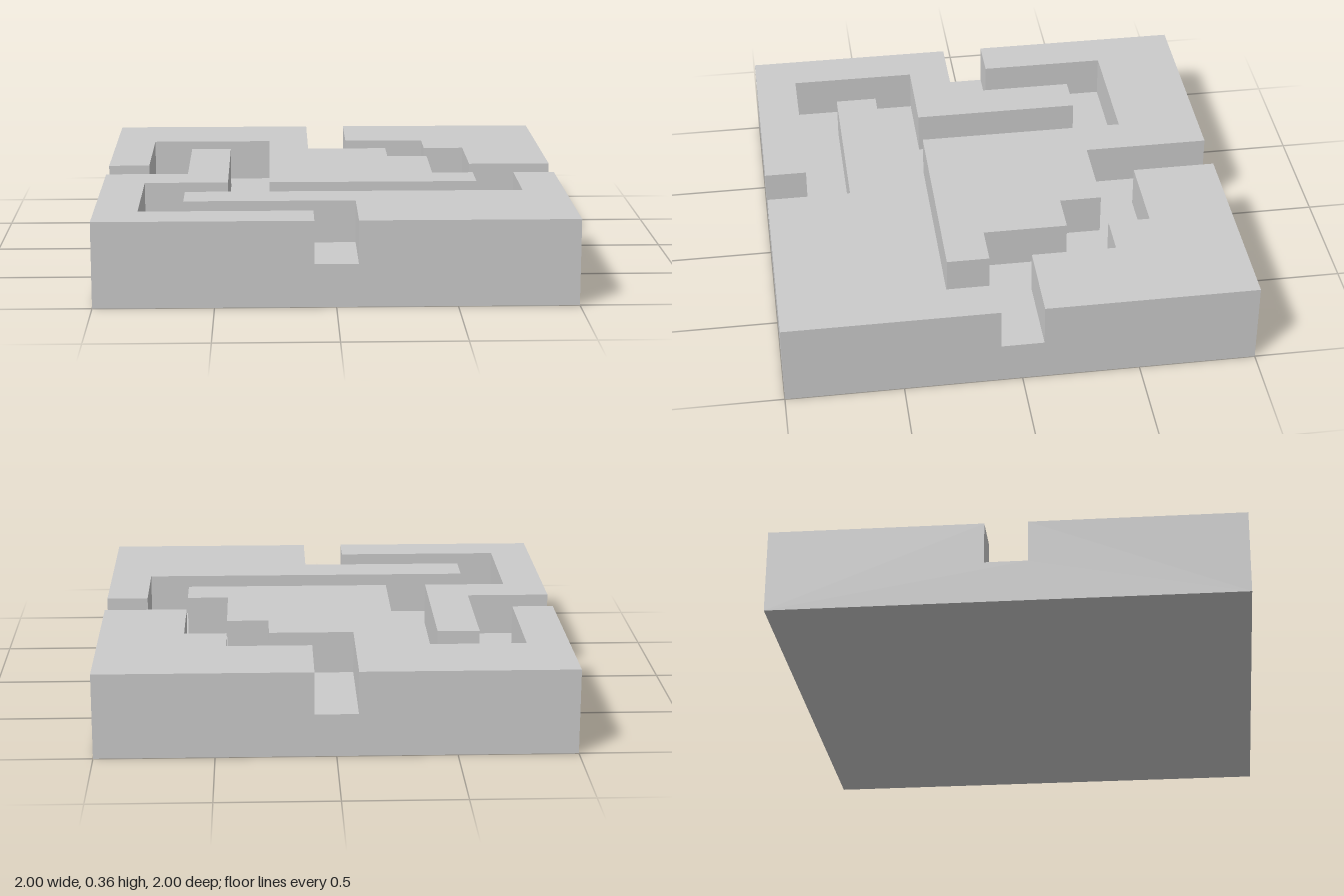
import * as THREE from 'three';
import { mergeGeometries } from 'three/addons/utils/BufferGeometryUtils.js';

const CELL = 2 / 11; // the tile is 11 x 11 cells, two cells high
const HEIGHT = 2 * CELL;
const FLOOR = CELL;
const at = (i) => -1 + i * CELL;

// Raised quarters: channel edge in [column, row] cells, walked with the block on the left, plus its corner
const blocks = [
  { // back, x negative
    edge: [[0, 5], [1, 5], [1, 2], [4, 2], [4, 7], [9, 7], [9, 6], [8, 6], [8, 4], [7, 4], [7, 3], [5, 3], [5, 0]],
    corner: [0, 0],
  },
  { // back, x positive
    edge: [[6, 0], [6, 2], [8, 2], [8, 3], [9, 3], [9, 5], [11, 5]],
    corner: [11, 0],
  },
  { // front, x positive
    edge: [[11, 6], [10, 6], [10, 8], [2, 8], [2, 9], [6, 9], [6, 11]],
    corner: [11, 11],
  },
  { // front, x negative
    edge: [[5, 11], [5, 10], [1, 10], [1, 7], [3, 7], [3, 3], [2, 3], [2, 6], [0, 6]],
    corner: [0, 11],
  },
];

// Flat upward-facing polygon at height y
function flat(cells, y) {
  const shape = new THREE.Shape(cells.map(([i, j]) => new THREE.Vector2(at(i), -at(j))));
  return new THREE.ShapeGeometry(shape).rotateX(-Math.PI / 2).translate(0, y, 0);
}

// Vertical channel wall between two cell corners
function wall([i0, j0], [i1, j1]) {
  const length = Math.hypot(i1 - i0, j1 - j0) * CELL;
  return new THREE.PlaneGeometry(length, HEIGHT - FLOOR)
    .rotateY(Math.atan2(j0 - j1, i1 - i0))
    .translate(at((i0 + i1) / 2), (HEIGHT + FLOOR) / 2, at((j0 + j1) / 2));
}

// Outer side with the channel's opening notched into the middle
function outerSide(turn) {
  const n = CELL / 2;
  const outline = [[-1, 0], [1, 0], [1, HEIGHT], [n, HEIGHT], [n, FLOOR], [-n, FLOOR], [-n, HEIGHT], [-1, HEIGHT]];
  const shape = new THREE.Shape(outline.map(([x, y]) => new THREE.Vector2(x, y)));
  return new THREE.ShapeGeometry(shape).translate(0, 0, 1).rotateY(turn * Math.PI / 2);
}

export function createModel() {
  const parts = [];

  // Block tops and channel walls
  for (const { edge, corner } of blocks) {
    parts.push(flat([...edge, corner], HEIGHT));
    for (let k = 1; k < edge.length; k++) parts.push(wall(edge[k - 1], edge[k]));
  }

  // Channel floor, bounded by the four block edges
  parts.push(flat(blocks.flatMap((b) => b.edge), FLOOR));

  // Four sides and the underside
  for (let turn = 0; turn < 4; turn++) parts.push(outerSide(turn));
  parts.push(new THREE.PlaneGeometry(2, 2).rotateX(Math.PI / 2));

  const tile = new THREE.Mesh(
    mergeGeometries(parts),
    new THREE.MeshStandardMaterial({ color: 0xcccccc, flatShading: true }),
  );
  tile.name = 'mazeTile';

  const group = new THREE.Group();
  group.name = 'channelledMazeTile';
  group.add(tile);
  return group;
}
